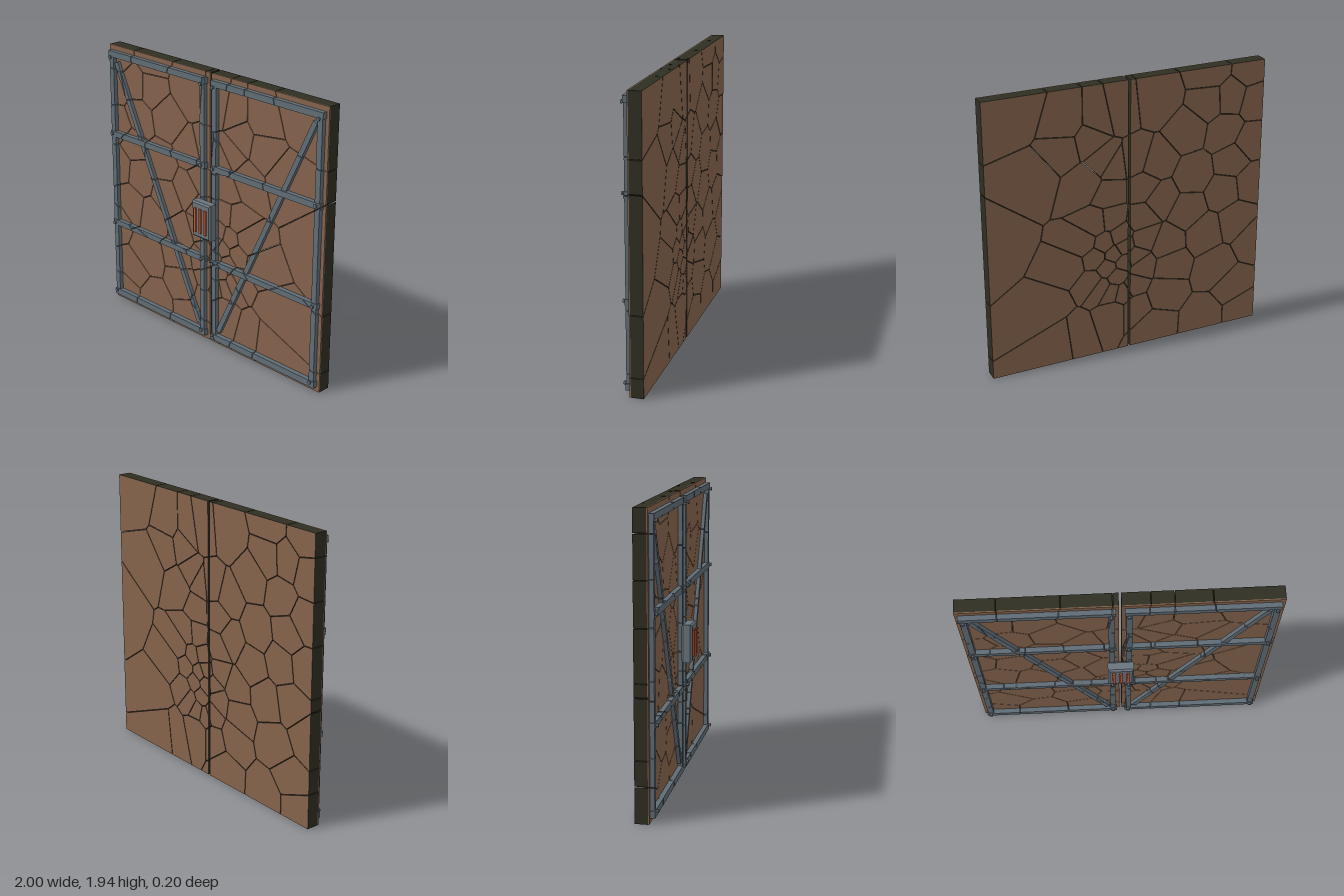
import * as THREE from 'three';
import { mergeGeometries } from 'three/addons/utils/BufferGeometryUtils.js';

// Fracture cell centres in hundredths of a unit: x, y pairs
const SEEDS_LEFT = [
  -90, 189, -59, 191, -20, 177, -94, 166, -75, 171, -58, 170, -43, 153, -71, 148,
  -92, 137, -78, 125, -93, 107, -72, 104, -48, 120, -20, 134, -23, 107, -44, 95,
  -82, 80, -58, 75, -97, 62, -67, 47, -82, 28, -89, 9, -59, 9, -31, 56, -26, 36,
  -18, 11, -28, 73, -10, 118, -9, 96, -11, 80, -5, 68, -9, 60, -3, 47, -5, 29, -4, 139,
];
const SEEDS_RIGHT = [
  7, 174, 21, 171, 45, 171, 28, 158, 79, 182, 67, 138, 47, 154, 32, 128, 95, 98,
  43, 70, 58, 43, 49, 20, 41, 21, 13, 29, 11, 137, 18, 142, 14, 118, 24, 98, 33, 86,
  13, 99, 18, 83, 25, 73, 7, 86, 11, 73, 4, 77, 4, 66, 16, 64, 9, 56, 21, 50, 5, 43,
  13, 45, 28, 56,
];
const CRACK = 0.005;

const toPoints = (a) => {
  const pts = [];
  for (let i = 0; i < a.length; i += 2) pts.push(new THREE.Vector2(a[i] / 100, a[i + 1] / 100));
  return pts;
};
const seeds = [...toPoints(SEEDS_LEFT), ...toPoints(SEEDS_RIGHT)];

// Keep the part of a convex polygon where n.p <= d
function clip(poly, n, d) {
  const out = [];
  poly.forEach((a, i) => {
    const b = poly[(i + 1) % poly.length];
    const da = n.dot(a) - d, db = n.dot(b) - d;
    if (da <= 0) out.push(a);
    if (da * db < 0) out.push(a.clone().lerp(b, da / (da - db)));
  });
  return out;
}

// Split a convex outline into the fracture cells, leaving a narrow crack
function shatter(outline) {
  const pieces = [];
  for (const s of seeds) {
    let poly = outline;
    for (const t of seeds) {
      if (t === s || poly.length < 3) continue;
      const n = t.clone().sub(s).normalize();
      const mid = s.clone().add(t).multiplyScalar(0.5);
      poly = clip(poly, n, n.dot(mid) - CRACK / 2);
    }
    if (poly.length > 2 && Math.abs(THREE.ShapeUtils.area(poly)) > 1e-5) pieces.push(poly);
  }
  return pieces;
}

function prism(poly, z0, z1) {
  return new THREE.ExtrudeGeometry(new THREE.Shape(poly), { depth: z1 - z0, bevelEnabled: false })
    .translate(0, 0, z0);
}

const rect = (x0, x1, y0, y1) =>
  [[x0, y0], [x1, y0], [x1, y1], [x0, y1]].map(([x, y]) => new THREE.Vector2(x, y));

// Rectangle of the given width running between two points
function strip(ax, ay, bx, by, width) {
  const a = new THREE.Vector2(ax, ay), b = new THREE.Vector2(bx, by);
  const d = b.clone().sub(a).normalize();
  const n = new THREE.Vector2(-d.y, d.x).multiplyScalar(width / 2);
  return [a.clone().sub(n), b.clone().sub(n), b.clone().add(n), a.clone().add(n)];
}

export function createModel() {
  const wood = new THREE.MeshStandardMaterial({ color: 0x84634c });
  const core = new THREE.MeshStandardMaterial({ color: 0x2e2e22 });
  const steel = new THREE.MeshStandardMaterial({ color: 0x5f6c75 });
  const lockSteel = new THREE.MeshStandardMaterial({ color: 0x6a747d });
  const orange = new THREE.MeshStandardMaterial({ color: 0xc4572a });
  wood.name = 'wood';
  core.name = 'darkCore';
  steel.name = 'frameSteel';
  lockSteel.name = 'lockSteel';
  orange.name = 'orangeBar';

  const model = new THREE.Group();
  model.name = 'doubleDoor';
  const add = (parent, name, geometry, material) => {
    const mesh = new THREE.Mesh(geometry, material);
    mesh.name = name;
    parent.add(mesh);
    return mesh;
  };

  for (const side of [-1, 1]) {
    const door = new THREE.Group();
    door.name = side < 0 ? 'rightDoor' : 'leftDoor';
    model.add(door);
    const mirrored = (poly) => poly.map((p) => new THREE.Vector2(p.x * side, p.y));

    // Cracked panel with dark edges and a thin wooden front skin
    for (const piece of shatter(mirrored(rect(0.008, 1, 0, 1.94)))) {
      add(door, 'panelPiece', prism(piece, -0.1, -0.016), [wood, core]);
      add(door, 'frontSkin', prism(piece, -0.016, -0.008), wood);
    }

    // Steel frame, broken along the same cracks
    const bars = (name, outlines, top) => add(door, name, mergeGeometries(outlines.flatMap(
      (o) => shatter(mirrored(o)).map((p) => prism(p, -0.008, top)))), steel);
    bars('crossBars', [[1.862, 1.905], [1.28, 1.322], [0.6, 0.64], [0.035, 0.08]]
      .map(([y0, y1]) => rect(0.028, 0.98, y0, y1)), 0.025);
    bars('uprights', [rect(0.036, 0.075, 0.06, 1.88), rect(0.933, 0.973, 0.06, 1.88)], 0.021);
    bars('diagonalBrace', [strip(0.093, 0.11, 0.912, 1.828, 0.036)], 0.017);

    // Bolts where the bars cross
    for (const x of [0.055, 0.952]) {
      for (const y of [0.075, 0.62, 1.305, 1.862]) {
        const shaft = new THREE.CylinderGeometry(0.008, 0.008, 0.02, 8);
        const head = new THREE.CylinderGeometry(0.013, 0.013, 0.008, 8).translate(0, 0.012, 0);
        const bolt = mergeGeometries([shaft, head]).rotateX(Math.PI / 2);
        add(door, 'bolt', bolt, steel).position.set(side * x, y, 0.026);
      }
    }
  }

  // Lock box with chamfered edges
  const lock = new THREE.Group();
  lock.name = 'lock';
  model.add(lock);
  const b = 0.012;
  const box = new THREE.ExtrudeGeometry(
    new THREE.Shape(rect(-0.087 + b, 0.087 - b, 0.805 + b, 1.062 - b)),
    { depth: 0.072 - 2 * b, bevelSize: b, bevelThickness: b, bevelSegments: 1 });
  add(lock, 'lockBox', box.translate(0, 0, 0.016 + b), lockSteel);
  for (const x of [-0.047, 0, 0.047]) {
    add(lock, 'lockBar', new THREE.BoxGeometry(0.018, 0.175, 0.016), orange)
      .position.set(x, 0.932, 0.092);
  }
  return model;
}
